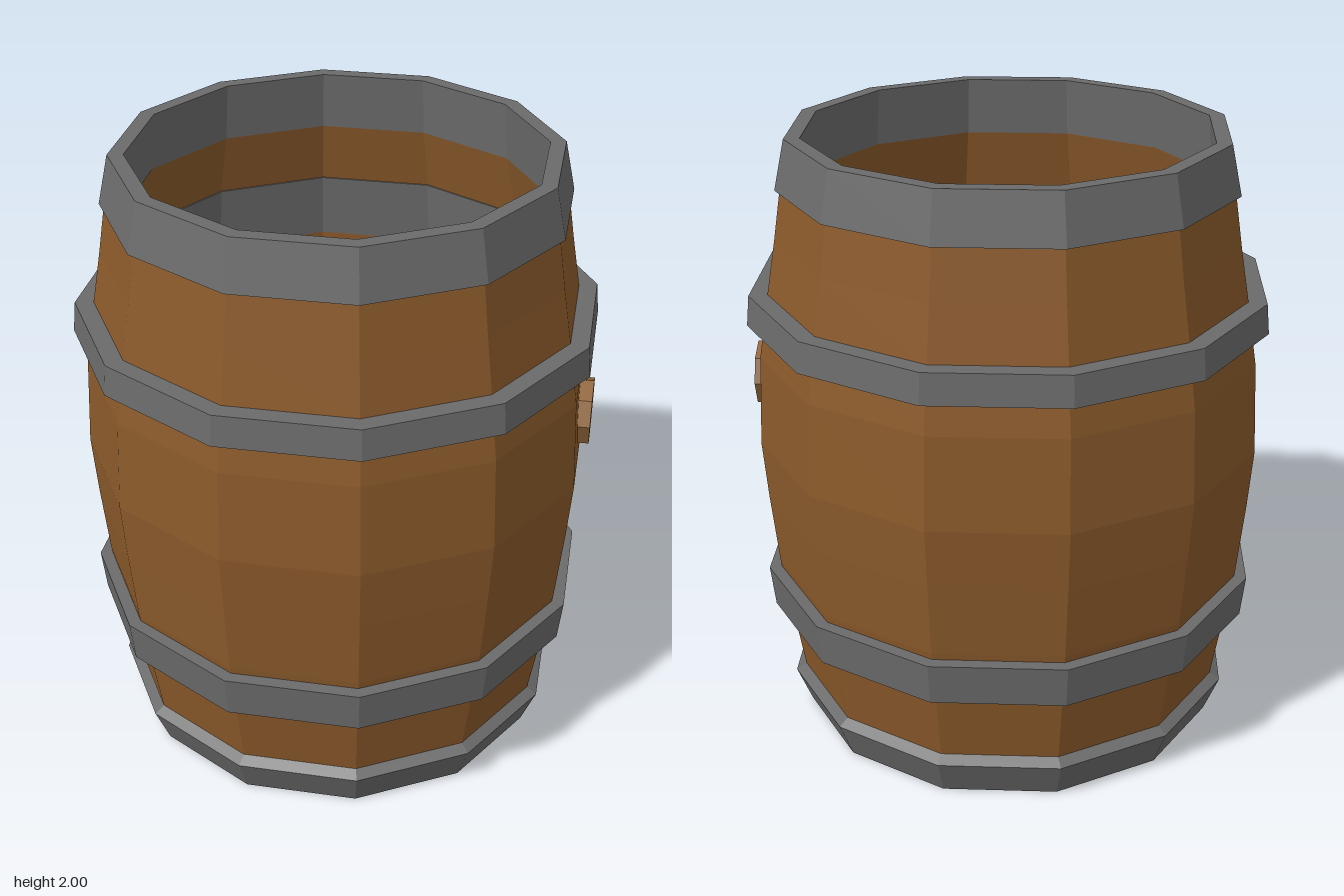
import * as THREE from 'three';

const SIDES = 12;
const flat = (color) => new THREE.MeshStandardMaterial({ color, flatShading: true });

// 12-sided ring or shell from [radius, height] pairs
function lathe(name, profile, material) {
  const points = profile.map(([r, y]) => new THREE.Vector2(r, y));
  const mesh = new THREE.Mesh(new THREE.LatheGeometry(points, SIDES), material);
  mesh.name = name;
  return mesh;
}

export function createModel() {
  const wood = flat(0x8b5a2b);
  const iron = flat(0x6b6b6b);
  const plugWood = flat(0x8f643a);
  const barrel = new THREE.Group();
  barrel.name = 'barrel';

  // Bulging outer staves
  barrel.add(lathe('outerStaves', [
    [0.70, 0.06], [0.72, 0.14], [0.762, 0.4], [0.787, 0.56], [0.81, 0.8],
    [0.825, 1.0], [0.81, 1.3], [0.777, 1.5], [0.745, 1.68], [0.71, 1.9],
  ], wood));

  // Inner wall, listed from top to bottom so it faces inward
  barrel.add(lathe('innerStaves', [
    [0.67, 1.81], [0.72, 1.6], [0.745, 1.38], [0.775, 1.0],
    [0.74, 0.6], [0.71, 0.36], [0.67, 0.14],
  ], wood));

  // Iron hoops around the outside
  const hoops = {
    bottomHoop: [[0, 0], [0.705, 0], [0.755, 0.125], [0.72, 0.148], [0.66, 0.148]],
    lowerHoop: [[0.75, 0.398], [0.81, 0.398], [0.825, 0.537], [0.77, 0.537]],
    upperHoop: [[0.78, 1.41], [0.845, 1.41], [0.835, 1.508], [0.76, 1.508]],
    topHoop: [[0.69, 1.842], [0.735, 1.842], [0.70, 2], [0.65, 2], [0.669, 1.81]],
  };
  for (const [name, profile] of Object.entries(hoops)) barrel.add(lathe(name, profile, iron));

  // Iron bands lining the inside
  barrel.add(lathe('upperInnerBand', [[0.72, 1.6], [0.715, 1.6], [0.74, 1.38], [0.745, 1.38]], iron));
  barrel.add(lathe('lowerInnerBand', [[0.74, 0.6], [0.735, 0.6], [0.705, 0.36], [0.71, 0.36]], iron));

  // Wooden floor inside
  const floor = new THREE.Mesh(new THREE.CircleGeometry(0.7, SIDES).rotateX(-Math.PI / 2), wood);
  floor.name = 'floor';
  floor.position.y = 0.16;
  barrel.add(floor);

  // Eight-sided plug set square to one stave
  const angle = Math.PI / SIDES;
  const plug = new THREE.Mesh(new THREE.CylinderGeometry(0.11, 0.11, 0.06, 8).rotateZ(-Math.PI / 2), plugWood);
  plug.name = 'plug';
  plug.rotation.y = -angle;
  plug.position.set(0.798 * Math.cos(angle), 1.163, 0.798 * Math.sin(angle));
  barrel.add(plug);

  return barrel;
}
